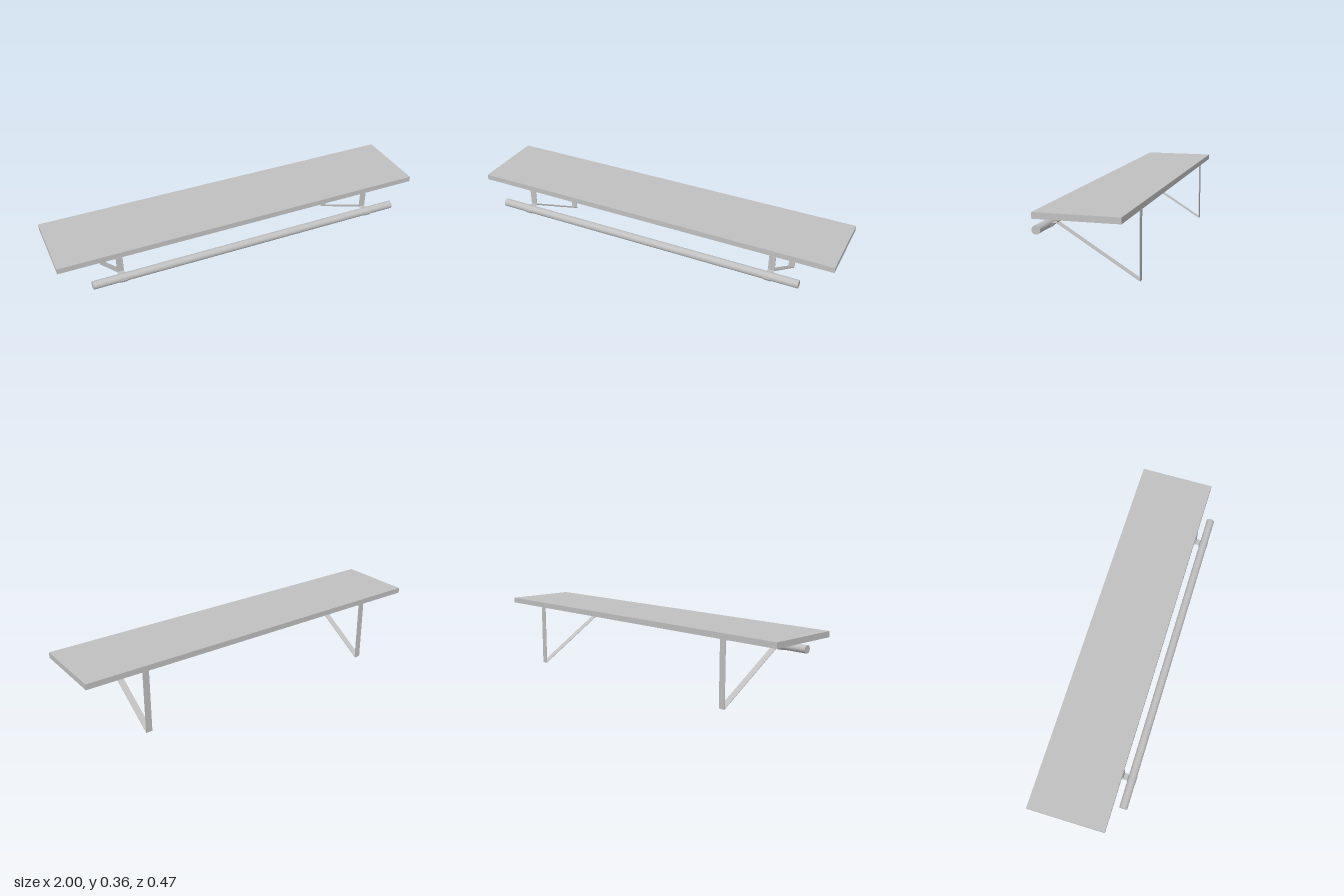
import * as THREE from 'three';

const BRACKET_X = 0.695;
const STRIP_WIDTH = 0.034;
const ROD = { z: 0.2105, y: 0.2435, radius: 0.021, length: 1.7 };

// Profile drawn in (z, y), extruded across x and centred on it
function extrudeAcross(shape, width) {
  const geometry = new THREE.ExtrudeGeometry(shape, { depth: width, bevelEnabled: false, curveSegments: 24 });
  geometry.translate(0, 0, -width / 2);
  geometry.rotateY(-Math.PI / 2);
  return geometry;
}

const points = (list) => list.map(([z, y]) => new THREE.Vector2(z, y));

export function createModel() {
  const model = new THREE.Group();
  model.name = 'wallShelf';
  const metal = new THREE.MeshStandardMaterial({ color: 0xc0c0c0 });
  metal.name = 'light grey';

  const add = (parent, name, geometry) => {
    const mesh = new THREE.Mesh(geometry, metal);
    mesh.name = name;
    parent.add(mesh);
    return mesh;
  };

  // Shelf board
  const board = add(model, 'shelfBoard', new THREE.BoxGeometry(2, 0.029, 0.399));
  board.position.set(0, 0.3445, -0.0345);

  // Hanging rod
  const rod = add(model, 'hangingRod', new THREE.CylinderGeometry(ROD.radius, ROD.radius, ROD.length, 32));
  rod.rotation.z = Math.PI / 2;
  rod.position.set(0, ROD.y, ROD.z);

  // Bent flat-bar frame: back, top, short front and sloping brace
  const frame = new THREE.Shape(points([[-0.2345, 0], [0.1665, 0.2475], [0.1665, 0.33], [-0.2345, 0.33]]));
  frame.holes.push(new THREE.Path(points([[-0.2315, 0.0054], [-0.2315, 0.327], [0.1635, 0.327], [0.1635, 0.2491]])));
  const frameGeometry = extrudeAcross(frame, STRIP_WIDTH);

  // Tab and half-round cradle under the rod
  const inner = ROD.radius, outer = ROD.radius + 0.003;
  const hook = new THREE.Shape();
  hook.moveTo(0.165, 0.2465);
  hook.lineTo(ROD.z - outer - 0.001, 0.2465);
  hook.absarc(ROD.z, ROD.y, outer, Math.PI, 2 * Math.PI, false);
  hook.absarc(ROD.z, ROD.y, inner, 2 * Math.PI, Math.PI, true);
  hook.lineTo(ROD.z - outer + 0.001, 0.249);
  hook.lineTo(0.165, 0.249);
  const hookGeometry = extrudeAcross(hook, STRIP_WIDTH);

  for (const [side, name] of [[1, 'leftBracket'], [-1, 'rightBracket']]) {
    const bracket = new THREE.Group();
    bracket.name = name;
    bracket.position.x = side * BRACKET_X;
    add(bracket, 'bracketFrame', frameGeometry);
    add(bracket, 'rodHook', hookGeometry);
    model.add(bracket);
  }

  return model;
}
